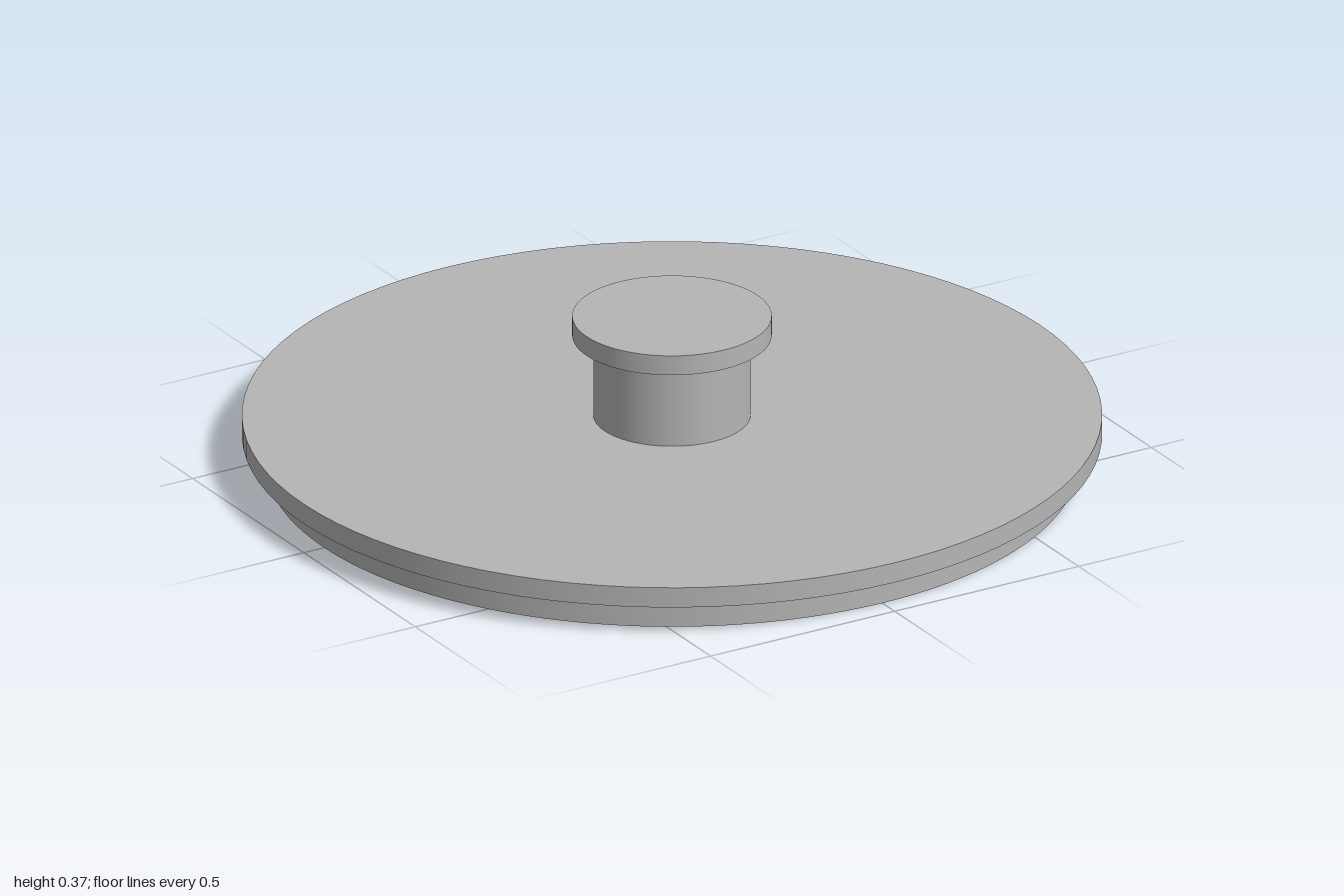
import * as THREE from 'three';
import { toCreasedNormals } from 'three/addons/utils/BufferGeometryUtils.js';

const SEGMENTS = 96;

export function createModel() {
  const model = new THREE.Group();
  model.name = 'lid';
  const grey = new THREE.MeshStandardMaterial({ color: 0xb5b5b5 });
  grey.name = 'grey';

  const add = (name, geometry) => {
    const mesh = new THREE.Mesh(geometry, grey);
    mesh.name = name;
    model.add(mesh);
  };
  // Solid disc between two heights
  const disc = (name, radius, bottom, top) => {
    const geometry = new THREE.CylinderGeometry(radius, radius, top - bottom, SEGMENTS);
    add(name, geometry.translate(0, (bottom + top) / 2, 0));
  };

  disc('plate', 1, 0.073, 0.123);
  disc('knobStem', 0.183, 0.123, 0.327);
  disc('knobCap', 0.232, 0.325, 0.374);

  // Thin locating lip, open underneath
  const ring = new THREE.Shape().absarc(0, 0, 0.945, 0, Math.PI * 2);
  ring.holes.push(new THREE.Path().absarc(0, 0, 0.932, 0, Math.PI * 2, true));
  const lip = new THREE.ExtrudeGeometry(ring, {
    depth: 0.075, bevelEnabled: false, curveSegments: SEGMENTS,
  });
  add('lip', toCreasedNormals(lip.rotateX(-Math.PI / 2), 0.6));

  return model;
}
